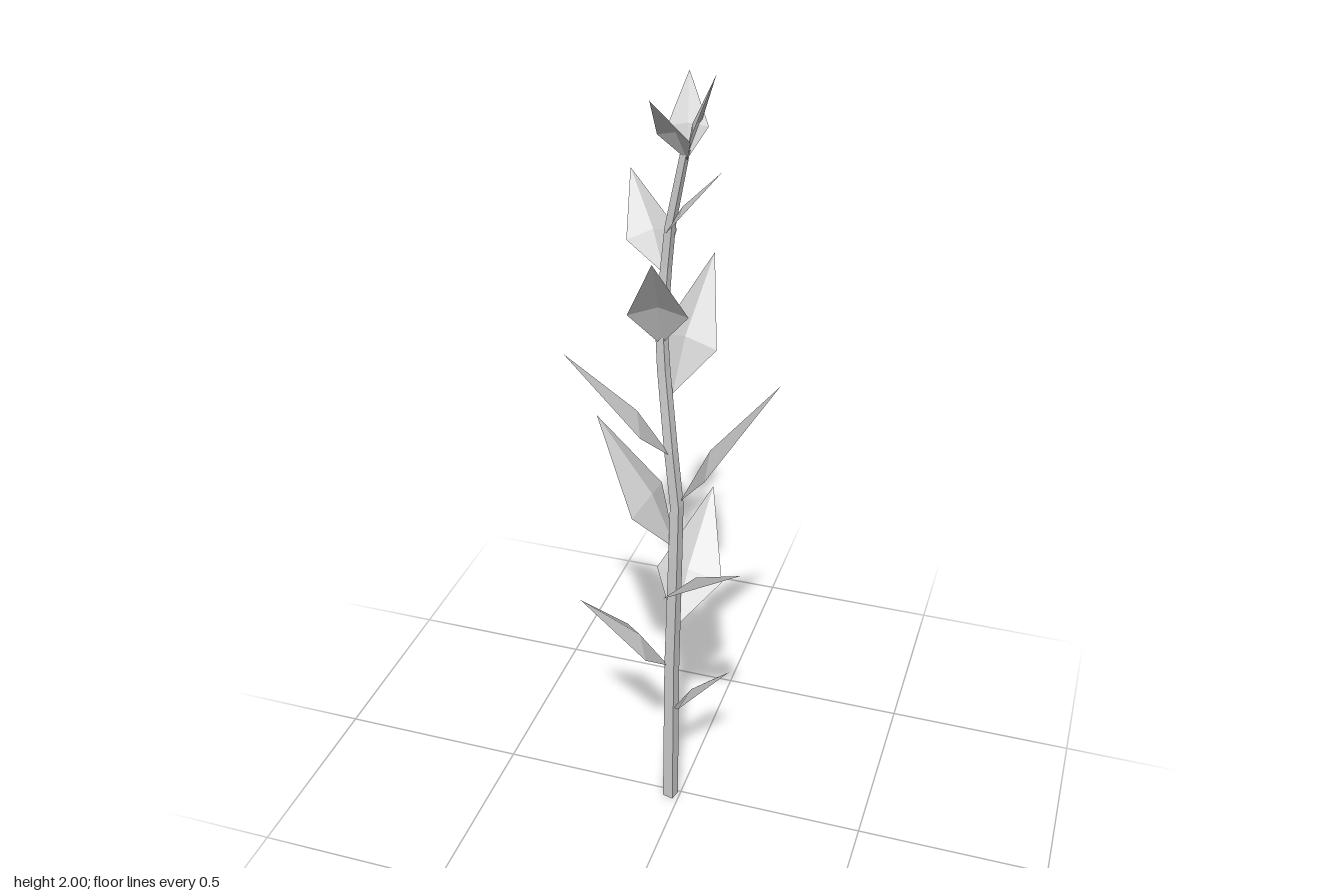
import * as THREE from 'three';

const grey = new THREE.MeshStandardMaterial({ color: 0xcccccc, flatShading: true, side: THREE.DoubleSide });
grey.name = 'plain grey';

const V = (a) => new THREE.Vector3(...a);

function meshFrom(name, points, index) {
  const indexed = new THREE.BufferGeometry().setFromPoints(points);
  indexed.setIndex(index);
  const geometry = indexed.toNonIndexed();
  geometry.computeVertexNormals();
  const mesh = new THREE.Mesh(geometry, grey);
  mesh.name = name;
  return mesh;
}

// Kite-shaped leaf: four facets meeting at a slightly raised centre
function makeLeaf([base, tip, halfWidth]) {
  const b = V(base), t = V(tip);
  const axis = t.clone().sub(b);
  const side = new THREE.Vector3(0, 1, 0).cross(axis).normalize();
  const up = axis.clone().cross(side).normalize();
  const mid = b.clone().addScaledVector(axis, 0.37);
  const centre = b.clone().addScaledVector(axis, 0.4).addScaledVector(up, 0.06 * axis.length());
  const left = mid.clone().addScaledVector(side, halfWidth);
  const right = mid.clone().addScaledVector(side, -halfWidth);
  return meshFrom('leaf', [centre, b, left, t, right], [0, 1, 2, 0, 2, 3, 0, 3, 4, 0, 4, 1]);
}

// Tapering stem: square rings along a gently bending path
function makeStem(path) {
  const sides = 4, points = [], index = [];
  path.forEach(([x, y, z, r], i) => {
    for (let k = 0; k < sides; k++) {
      const a = (k + 0.35) / sides * Math.PI * 2;
      points.push(new THREE.Vector3(x + r * Math.sin(a), y, z + r * Math.cos(a)));
      if (i === 0) continue;
      const n = (k + 1) % sides, lo = (i - 1) * sides, hi = i * sides;
      index.push(lo + k, lo + n, hi + n, lo + k, hi + n, hi + k);
    }
  });
  const top = (path.length - 1) * sides;
  index.push(0, 2, 1, 0, 3, 2, top, top + 1, top + 2, top, top + 2, top + 3);
  return meshFrom('stem', points, index);
}

// x, y, z, radius
const stemPath = [
  [-0.025, 0, 0.016, 0.021],
  [-0.02, 0.45, 0.015, 0.02],
  [-0.01, 0.8, 0.014, 0.018],
  [-0.008, 0.95, 0.008, 0.017],
  [-0.025, 1.1, 0, 0.017],
  [-0.05, 1.3, -0.025, 0.016],
  [-0.058, 1.4, -0.035, 0.015],
  [-0.05, 1.55, -0.048, 0.014],
  [-0.04, 1.65, -0.048, 0.013],
  [-0.003, 1.83, -0.042, 0.011],
];

// base, tip, half width
const leaves = [
  [[-0.015, 0.31, 0.015], [0.15, 0.515, 0.07], 0.07],
  [[-0.03, 0.45, 0.015], [-0.215, 0.715, 0.147], 0.08],
  [[-0.015, 0.57, 0.005], [0.007, 0.845, -0.26], 0.09],
  [[-0.01, 0.69, 0.025], [0.223, 0.96, 0.26], 0.092],
  [[-0.01, 0.82, 0.01], [-0.215, 1.155, -0.01], 0.09],
  [[0, 0.96, 0.005], [0.238, 1.315, 0], 0.1],
  [[-0.025, 1.08, 0], [-0.239, 1.385, 0.126], 0.09],
  [[-0.03, 1.235, -0.03], [0.02, 1.53, -0.2], 0.08],
  [[-0.058, 1.36, -0.03], [-0.027, 1.63, 0.123], 0.07],
  [[-0.055, 1.53, -0.05], [-0.172, 1.73, -0.163], 0.065],
  [[-0.055, 1.625, -0.048], [0.08, 1.79, -0.044], 0.05],
  [[0.002, 1.81, -0.04], [-0.042, 1.975, 0.082], 0.045],
  [[0, 1.81, -0.045], [-0.02, 1.98, -0.125], 0.045],
  [[-0.003, 1.81, -0.042], [0.063, 2, -0.046], 0.045],
];

export function createModel() {
  const model = new THREE.Group();
  model.name = 'leafySprig';
  model.add(makeStem(stemPath));
  const foliage = new THREE.Group();
  foliage.name = 'foliage';
  leaves.forEach((leaf) => foliage.add(makeLeaf(leaf)));
  model.add(foliage);
  return model;
}
